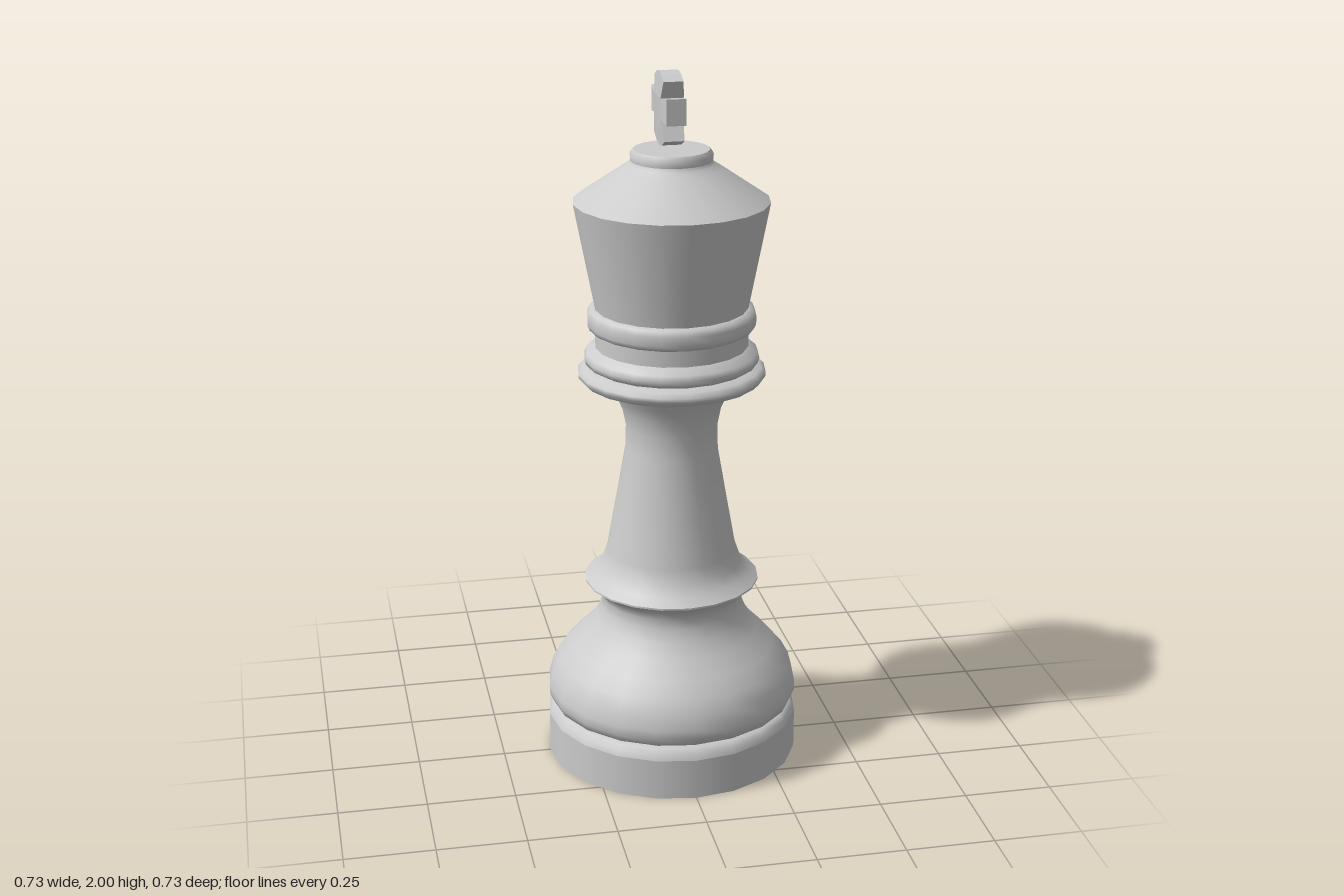
import * as THREE from 'three';

const SIDES = 20;

export function createModel() {
  const group = new THREE.Group();
  const smooth = new THREE.MeshStandardMaterial({ color: 0xcccccc, side: THREE.DoubleSide });
  const flat = new THREE.MeshStandardMaterial({ color: 0xcccccc, flatShading: true });

  // One turned section, profile given bottom to top as [radius, height]
  const turned = (name, profile) => {
    const points = profile.map(([r, y]) => new THREE.Vector2(r, y));
    const mesh = new THREE.Mesh(new THREE.LatheGeometry(points, SIDES), smooth);
    mesh.name = name;
    group.add(mesh);
  };

  // Foot; separate sections keep the edges between them sharp
  turned('baseUnderside', [[0, 0], [0.363, 0]]);
  turned('baseWall', [[0.363, 0], [0.363, 0.118]]);
  turned('baseTopEdge', [[0.363, 0.118], [0.357, 0.135], [0.345, 0.147], [0.33, 0.15]]);
  turned('belly', [[0.33, 0.15], [0.352, 0.163], [0.362, 0.185], [0.362, 0.21], [0.352, 0.25],
    [0.33, 0.29], [0.295, 0.33], [0.25, 0.375], [0.22, 0.415], [0.205, 0.45], [0.203, 0.48],
    [0.213, 0.505], [0.25, 0.531]]);

  // Stem with a flared skirt and throat
  turned('skirtRim', [[0.25, 0.531], [0.25, 0.536]]);
  turned('stem', [[0.25, 0.536], [0.222, 0.557], [0.2, 0.585], [0.186, 0.625], [0.16, 0.77],
    [0.132, 0.93], [0.13, 1.0], [0.14, 1.05], [0.155, 1.085], [0.178, 1.125]]);

  // Collar rings
  turned('collarUnderside', [[0.16, 1.125], [0.225, 1.125]]);
  turned('lowerRing', [[0.225, 1.125], [0.25, 1.135], [0.264, 1.15], [0.264, 1.162],
    [0.252, 1.174], [0.228, 1.18]]);
  turned('middleRing', [[0.228, 1.18], [0.242, 1.188], [0.246, 1.203], [0.24, 1.218], [0.215, 1.235]]);
  turned('collarNeck', [[0.215, 1.235], [0.215, 1.28]]);
  turned('upperRing', [[0.215, 1.28], [0.23, 1.287], [0.236, 1.3], [0.236, 1.325], [0.23, 1.34], [0.214, 1.345]]);

  // Crown
  turned('crownWall', [[0.214, 1.345], [0.272, 1.645]]);
  turned('crownShoulder', [[0.272, 1.645], [0.14, 1.735], [0.118, 1.748], [0.113, 1.758]]);
  turned('crownButton', [[0.113, 1.758], [0.115, 1.775], [0.105, 1.788]]);
  turned('crownTop', [[0.105, 1.788], [0, 1.788]]);

  // Finial cross: half outline mirrored, measured from its centre
  const half = [[0, 0.092], [0.032, 0.088], [0.062, 0.074], [0.046, 0.027], [0.105, 0.036],
    [0.105, -0.036], [0.046, -0.027], [0.075, -0.084], [0.036, -0.102], [0, -0.11]];
  const mirrored = half.slice(1, -1).reverse().map(([a, b]) => [-a, b]);
  const outline = new THREE.Shape([...half, ...mirrored].map(([a, b]) => new THREE.Vector2(a, b)));
  const geometry = new THREE.ExtrudeGeometry(outline, { depth: 2, bevelEnabled: false });
  // Thickness grows slightly toward the middle
  const pos = geometry.attributes.position;
  for (let i = 0; i < pos.count; i++) {
    const inner = Math.hypot(pos.getX(i), pos.getY(i)) < 0.07;
    pos.setZ(i, (pos.getZ(i) - 1) * (inner ? 0.032 : 0.027));
  }
  geometry.rotateY(Math.PI / 2);
  geometry.computeVertexNormals();
  const cross = new THREE.Mesh(geometry, flat);
  cross.name = 'finialCross';
  cross.position.set(-0.007, 1.908, 0);
  group.add(cross);

  return group;
}
